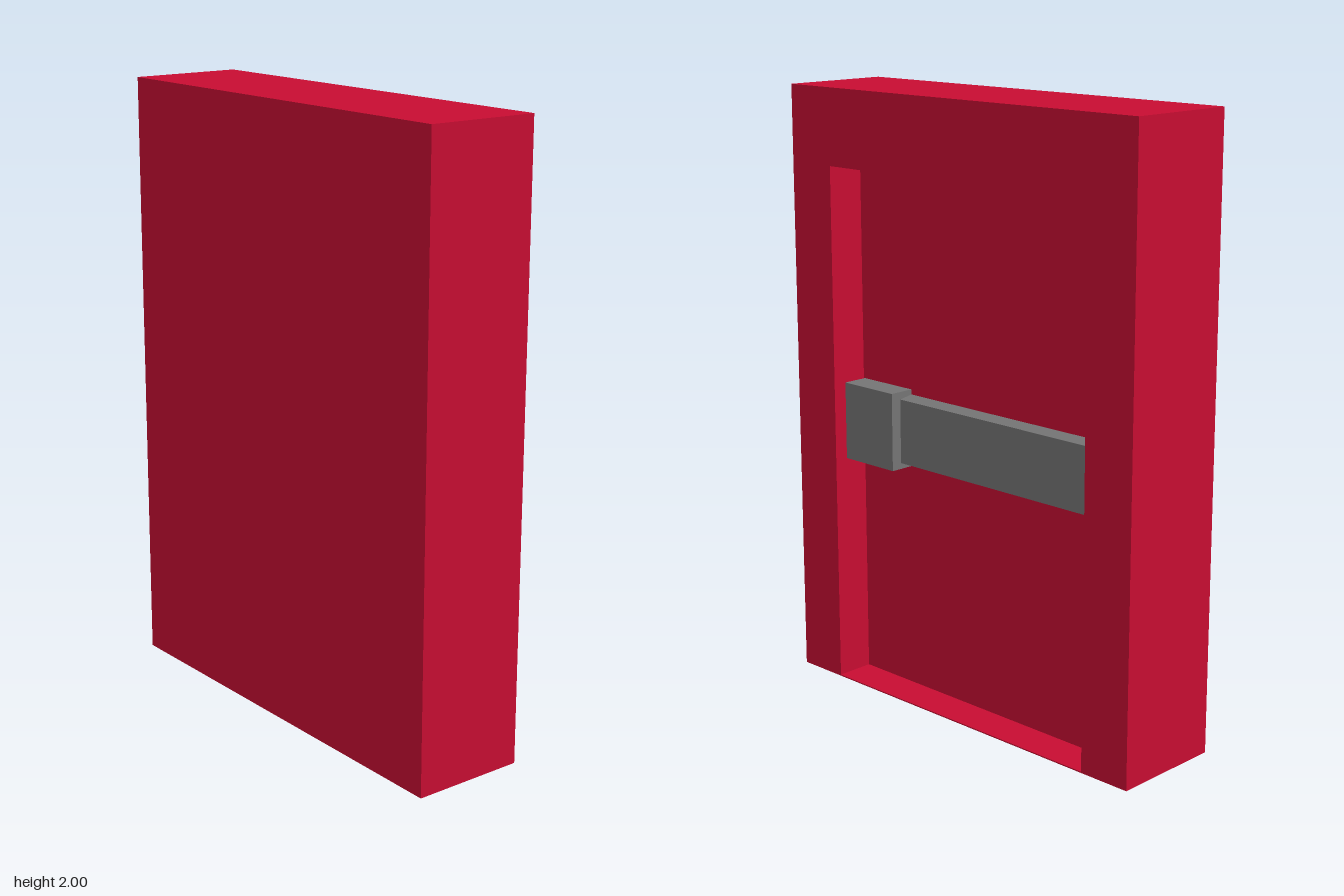
import * as THREE from 'three';

const W = 0.19, D = 0.73, H = 2;      // half thickness, half width, height
const RECESS = { x: 0.06, z: 0.55, bottom: 0.004, top: 1.75 };

export function createModel() {
  const red = new THREE.MeshStandardMaterial({ color: 0xc80d32 });
  red.name = 'red paint';
  const grey = new THREE.MeshStandardMaterial({ color: 0x757575 });
  grey.name = 'grey metal';
  const group = new THREE.Group();
  group.name = 'recessedDoor';

  const add = (name, geometry, material) => {
    const mesh = new THREE.Mesh(geometry, material);
    mesh.name = name;
    group.add(mesh);
  };
  // Box given by its limits on each axis
  const box = (x0, x1, y0, y1, z0, z1) =>
    new THREE.BoxGeometry(x1 - x0, y1 - y0, z1 - z0)
      .translate((x0 + x1) / 2, (y0 + y1) / 2, (z0 + z1) / 2);
  const rect = (Type, w, y0, y1) => new Type([
    new THREE.Vector2(-w, y0), new THREE.Vector2(w, y0),
    new THREE.Vector2(w, y1), new THREE.Vector2(-w, y1),
  ]);

  // Solid slab behind the recess
  add('backSlab', box(-W, RECESS.x, 0, H, -D, D), red);

  // Frame around the recess, with a very thin sill at the bottom
  const outline = rect(THREE.Shape, D, 0, H);
  outline.holes.push(rect(THREE.Path, RECESS.z, RECESS.bottom, RECESS.top));
  const frame = new THREE.ExtrudeGeometry(outline, { depth: W - RECESS.x, bevelEnabled: false });
  add('frame', frame.rotateY(Math.PI / 2).translate(RECESS.x, 0, 0), red);

  // Push bar, its top sloping slightly down towards the outside
  const bar = box(RECESS.x, 0.11, 0.79, 1.013, -0.548, 0.33);
  const p = bar.attributes.position;
  for (let i = 0; i < p.count; i++) {
    if (p.getX(i) > 0.1 && p.getY(i) > 0.9) p.setY(i, 1.005);
  }
  bar.computeVertexNormals();
  add('pushBar', bar, grey);

  // Latch housing at the end of the bar
  add('latchHousing', box(RECESS.x, 0.147, 0.77, 1.03, 0.32, 0.545), grey);

  return group;
}
